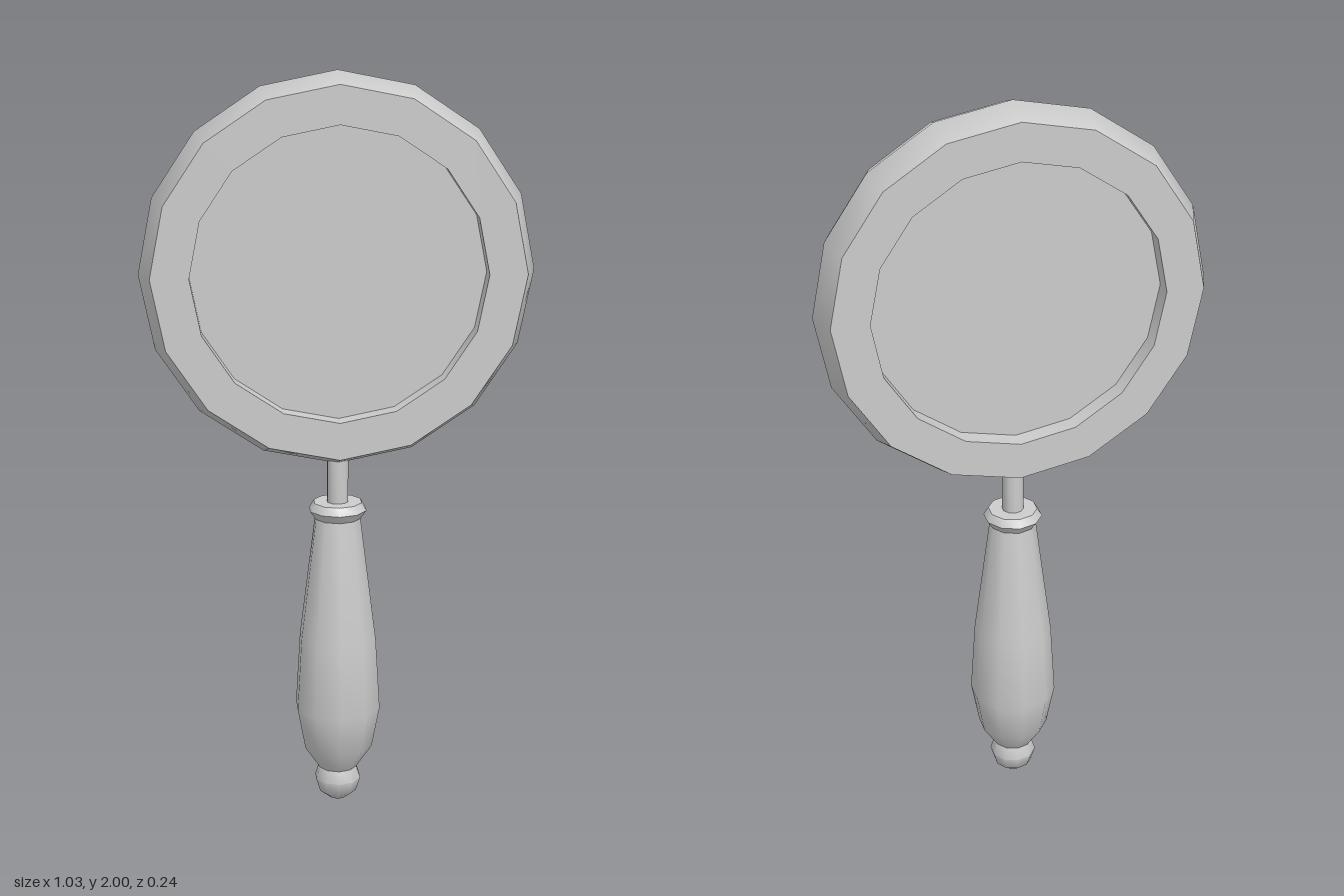
import * as THREE from 'three';
import { toCreasedNormals } from 'three/addons/utils/BufferGeometryUtils.js';

const material = new THREE.MeshStandardMaterial({ color: 0xcccccc });
const CREASE = 0.8;

// Turned part around the y axis from [radius, y] pairs, listed bottom to top.
function turned(name, profile, sides) {
  const points = profile.map(([r, y]) => new THREE.Vector2(r, y));
  const mesh = new THREE.Mesh(toCreasedNormals(new THREE.LatheGeometry(points, sides), CREASE), material);
  mesh.name = name;
  return mesh;
}

export function createModel() {
  const model = new THREE.Group();
  model.name = 'magnifyingGlass';

  // Head: ridged frame with a lens recessed on both faces
  const head = new THREE.Group();
  head.name = 'head';
  const inner = 0.385, rim = 0.485, ridge = 0.515, half = 0.082, lensHalf = 0.03;
  head.add(turned('frame', [
    [inner, -half], [rim, -half], [ridge, 0], [rim, half], [inner, half], [inner, -half],
  ], 16));
  head.add(turned('lens', [
    [0, -lensHalf], [inner, -lensHalf], [inner, lensHalf], [0, lensHalf],
  ], 16));
  head.rotation.x = Math.PI / 2;
  head.position.y = 1.485;
  model.add(head);

  // Rod joining the head to the handle
  model.add(turned('rod', [[0.029, 0.84], [0.029, 1.02]], 10));

  // Collar at the top of the grip
  model.add(turned('collar', [
    [0, 0.82], [0.063, 0.82], [0.079, 0.843], [0.066, 0.864], [0, 0.864],
  ], 10));

  // Swelling wooden grip
  model.add(turned('grip', [
    [0, 0.1], [0.053, 0.1], [0.096, 0.165], [0.118, 0.28], [0.106, 0.48], [0.062, 0.825],
  ], 10));

  // Knob at the foot
  model.add(turned('knob', [
    [0, 0], [0.024, 0.006], [0.052, 0.028], [0.064, 0.066], [0.053, 0.1], [0, 0.1],
  ], 10));

  return model;
}
